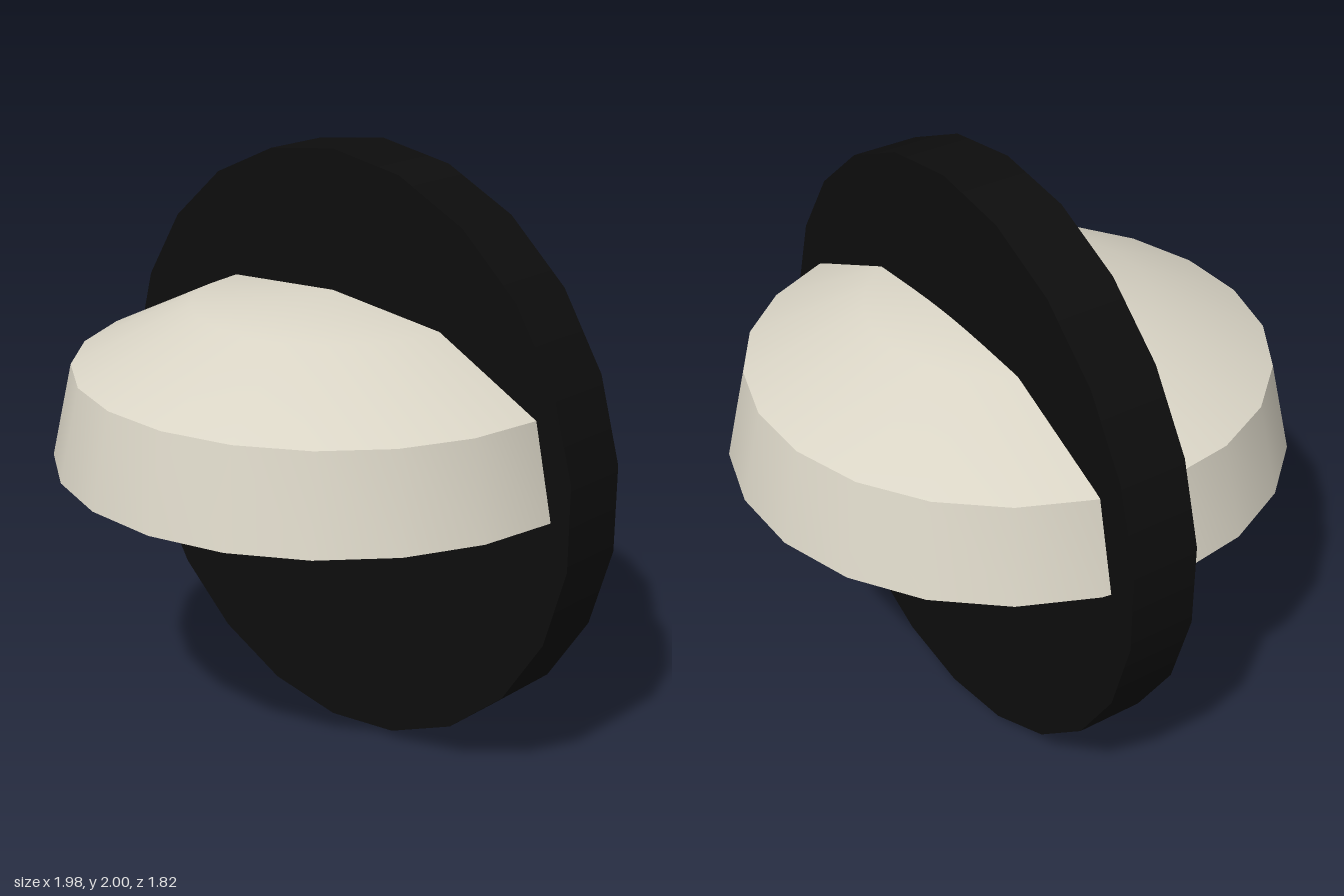
import * as THREE from 'three';
import { mergeVertices } from 'three/addons/utils/BufferGeometryUtils.js';

const SIDES = 22;

// Revolved band with smooth normals; corners lie on the x axis.
function band(profile) {
  const points = profile.map(([r, y]) => new THREE.Vector2(r, y));
  const lathe = new THREE.LatheGeometry(points, SIDES, Math.PI / 2);
  lathe.deleteAttribute('normal');
  lathe.deleteAttribute('uv');
  const geometry = mergeVertices(lathe, 1e-4);
  geometry.computeVertexNormals();
  return geometry;
}

export function createModel() {
  const model = new THREE.Group();
  const black = new THREE.MeshStandardMaterial({ color: 0x0d0d0d });
  black.name = 'black';
  const cream = new THREE.MeshStandardMaterial({ color: 0xdad5c6 });
  cream.name = 'cream';

  const add = (parent, name, geometry, material) => {
    const mesh = new THREE.Mesh(geometry, material);
    mesh.name = name;
    parent.add(mesh);
    return mesh;
  };

  // Upright disc, its front face on z = 0
  const disc = new THREE.CylinderGeometry(1, 1, 0.23, SIDES);
  disc.rotateX(Math.PI / 2);
  add(model, 'disc', disc, black).position.set(0, 1, -0.115);

  // Shallow dome passing through the disc, with sharp edges between its bands
  const dome = new THREE.Group();
  dome.name = 'dome';
  dome.position.y = 1;
  model.add(dome);
  add(dome, 'domeBase', band([[0, 0], [0.92, 0]]), cream);
  add(dome, 'domeWall', band([[0.92, 0], [0.85, 0.31]]), cream);
  add(dome, 'domeCap', band([[0.85, 0.31], [0.46, 0.5], [0, 0.54]]), cream);

  return model;
}
